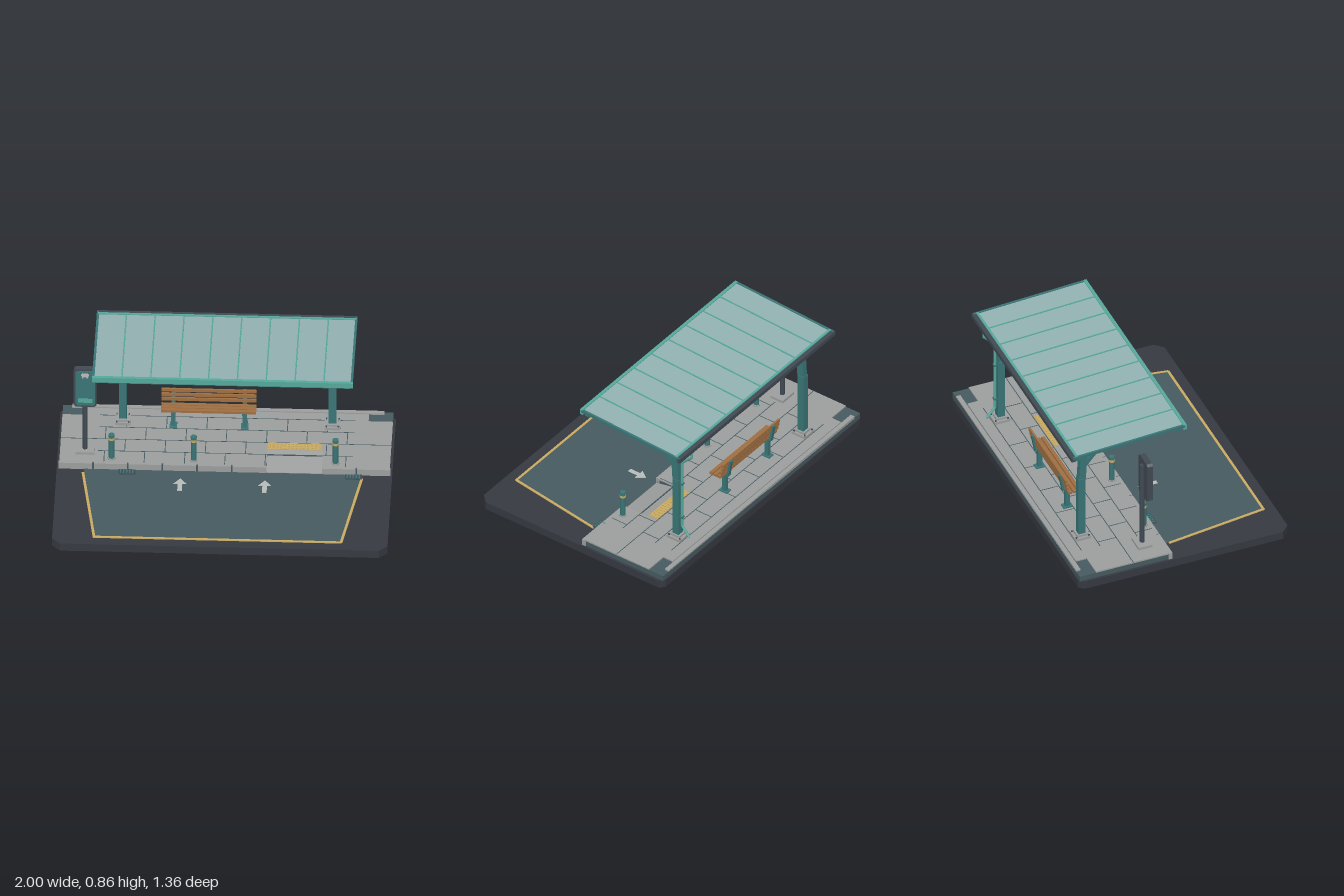
import * as THREE from 'three';

const mat = (name, color, side = THREE.FrontSide) => {
  const m = new THREE.MeshStandardMaterial({ color, side });
  m.name = name;
  return m;
};

export function createModel() {
  const root = new THREE.Group();
  root.name = 'shelter';
  const asphalt = mat('asphalt', 0x363941), slate = mat('slate', 0x465a60), concrete = mat('concrete', 0x9c9e9e);
  const teal = mat('teal', 0x3a7576), mint = mat('mint', 0x55a99b), glass = mat('roofPanel', 0x93b2b3);
  const wood = mat('wood', 0xa06f42), yellow = mat('yellow', 0xc9aa62), metal = mat('darkMetal', 0x414a53);
  const white = mat('paleMarking', 0xb8bcb8);

  const add = (name, geo, m, parent = root) => {
    const mesh = new THREE.Mesh(geo, m);
    mesh.name = name;
    parent.add(mesh);
    return mesh;
  };
  // box given by its limits on each axis
  const box = (name, m, x0, x1, y0, y1, z0, z1, parent) => {
    const b = add(name, new THREE.BoxGeometry(x1 - x0, y1 - y0, z1 - z0), m, parent);
    b.position.set((x0 + x1) / 2, (y0 + y1) / 2, (z0 + z1) / 2);
    return b;
  };
  // flat slab from an outline of [x, z] points
  const slab = (name, m, pts, y, h, parent) => {
    const s = new THREE.Shape(pts.map(([x, z]) => new THREE.Vector2(x, -z)));
    const g = new THREE.ExtrudeGeometry(s, { depth: h, bevelEnabled: false });
    g.rotateX(-Math.PI / 2);
    const o = add(name, g, m, parent);
    o.position.y = y;
    return o;
  };
  // straight bar between two [z, y] points, centred on x
  const bar = (name, m, x, [z0, y0], [z1, y1], thick, width, parent) => {
    const b = add(name, new THREE.BoxGeometry(width, thick, Math.hypot(z1 - z0, y1 - y0)), m, parent);
    b.position.set(x, (y0 + y1) / 2, (z0 + z1) / 2);
    b.rotation.x = Math.atan2(y0 - y1, z1 - z0);
    return b;
  };
  const post = (name, m, r, x, y0, y1, z, parent, sides = 16) => {
    const c = add(name, new THREE.CylinderGeometry(r, r, y1 - y0, sides), m, parent);
    c.position.set(x, (y0 + y1) / 2, z);
    return c;
  };

  // ground base with clipped corners
  slab('base', asphalt, [[-0.95, 0.68], [0.95, 0.68], [1, 0.63], [1, -0.65], [0.97, -0.68], [-0.97, -0.68], [-1, -0.65], [-1, 0.63]], 0, 0.052);

  // painted lane
  slab('lane', slate, [[-0.84, -0.08], [-0.75, 0.61], [0.72, 0.61], [0.82, -0.08]], 0.05, 0.005);
  const w = 0.016;
  slab('laneLineFront', yellow, [[-0.755, 0.615], [0.725, 0.615], [0.725, 0.599], [-0.755, 0.599]], 0.052, 0.005);
  slab('laneLineRight', yellow, [[-0.85, -0.04], [-0.758, 0.61], [-0.758 + w, 0.61], [-0.85 + w, -0.04]], 0.052, 0.005);
  slab('laneLineLeft', yellow, [[0.812, -0.04], [0.714, 0.61], [0.714 + w, 0.61], [0.812 + w, -0.04]], 0.052, 0.005);
  for (const x of [-0.26, 0.245]) {
    slab('laneArrow', white, [[x - 0.014, 0.125], [x + 0.014, 0.125], [x + 0.014, 0.055], [x + 0.04, 0.055], [x, 0], [x - 0.04, 0.055], [x - 0.014, 0.055]], 0.052, 0.005);
  }
  // drain grates beside the kerb
  for (const x of [-0.58, 0.77]) {
    box('grate', metal, x - 0.05, x + 0.05, 0.05, 0.059, -0.078, -0.03);
    for (let i = 0; i < 5; i++) box('grateBar', teal, x - 0.042 + i * 0.018, x - 0.034 + i * 0.018, 0.055, 0.062, -0.073, -0.035);
  }

  // platform with a notch for the ramp
  const rx0 = 0.25, rx1 = 0.58, rz = -0.26;
  const notch = (z) => [[rx0, z], [rx0, rz], [rx1, rz], [rx1, z]];
  slab('platformBody', slate, [[-0.985, -0.1], ...notch(-0.1), [0.985, -0.1], [0.985, -0.675], [-0.985, -0.675]], 0.05, 0.037);
  slab('paving', concrete, [[-0.985, -0.1], ...notch(-0.1), [0.985, -0.1], [0.985, -0.57], [0.84, -0.57], [0.84, -0.64], [-0.84, -0.64], [-0.84, -0.57], [-0.985, -0.57]], 0.086, 0.009);
  box('backKerb', concrete, -0.93, 0.93, 0.08, 0.097, -0.675, -0.647);
  const ramp = new THREE.Shape([[0.08, 0.05], [0.26, 0.05], [0.26, 0.095], [0.08, 0.058]].map((p) => new THREE.Vector2(...p)));
  const rampGeo = new THREE.ExtrudeGeometry(ramp, { depth: rx1 - rx0, bevelEnabled: false });
  rampGeo.rotateY(Math.PI / 2);
  add('ramp', rampGeo, concrete).position.x = rx0;

  // kerb stones, separated by dark joints
  box('kerbJointRight', slate, -0.985, rx0, 0.05, 0.09, -0.102, -0.084);
  box('kerbJointLeft', slate, rx1, 0.985, 0.05, 0.09, -0.102, -0.084);
  for (const [a, b, n] of [[-0.99, rx0, 6], [rx1, 0.99, 2]]) {
    const step = (b - a) / n;
    for (let i = 0; i < n; i++) {
      box('kerbStone', concrete, a + i * step + (i ? 0.005 : 0), a + (i + 1) * step - (i < n - 1 ? 0.005 : 0), 0.052, 0.095, -0.102, -0.078);
    }
  }

  // paving joints, staggered row by row
  const rows = [-0.1, -0.21, -0.33, -0.45, -0.57];
  rows.slice(1).forEach((z, i) => {
    const e = z === -0.33 ? 0.985 : 0.76;
    box('pavingJoint', slate, -e, e, 0.09, 0.0958, z - 0.0025, z + 0.0025);
    for (let x = -0.72 + (i % 2) * 0.12; x < 0.76; x += 0.24) {
      if (i < 2 && x > rx0 && x < rx1) continue;
      box('pavingJoint', slate, x - 0.0025, x + 0.0025, 0.09, 0.0958, z, rows[i]);
    }
  });

  // tactile strip at the top of the ramp
  box('tactileStrip', yellow, rx0, rx1 - 0.01, 0.09, 0.099, -0.325, -0.262);
  for (let i = 0; i < 14; i++) for (let j = 0; j < 3; j++) {
    post('tactileDot', yellow, 0.006, 0.262 + i * 0.0228, 0.098, 0.103, -0.274 - j * 0.0195, root, 8);
  }

  // canopy frames: footing, column, leaning head, brace and roof arm
  for (const x of [-0.622, 0.627]) {
    const f = new THREE.Group();
    f.name = 'canopyFrame';
    root.add(f);
    box('footing', concrete, x - 0.047, x + 0.047, 0.094, 0.112, -0.57, -0.47, f);
    box('footingCap', concrete, x - 0.033, x + 0.033, 0.11, 0.126, -0.553, -0.482, f);
    box('column', teal, x - 0.023, x + 0.023, 0.12, 0.53, -0.54, -0.495, f);
    bar('columnHead', teal, x, [-0.515, 0.52], [-0.497, 0.8], 0.044, 0.038, f);
    bar('braceLower', teal, x, [-0.5, 0.62], [-0.43, 0.7], 0.026, 0.03, f);
    bar('braceUpper', teal, x, [-0.435, 0.698], [-0.25, 0.785], 0.026, 0.03, f);
    bar('roofArmFront', teal, x, [0.06, 0.815], [-0.32, 0.79], 0.042, 0.042, f);
    bar('roofArmBack', teal, x, [-0.31, 0.79], [-0.6, 0.771], 0.032, 0.034, f);
    for (const dx of [-0.036, 0.036]) for (const z of [-0.56, -0.48]) post('anchorBolt', metal, 0.006, x + dx, 0.11, 0.118, z, f, 6);
  }

  // roof
  const roofY = (z) => 0.847 + (z - 0.1) * 0.054;
  const at = (z, d = 0) => [z, roofY(z) + d];
  bar('roofPanel', glass, -0.005, at(0.085), at(-0.625), 0.01, 1.53);
  for (const x of [-0.775, 0.765]) bar('roofSideRail', teal, x, at(0.09), at(-0.63), 0.018, 0.014);
  for (let i = 0; i < 8; i++) bar('roofSeam', mint, -0.605 + i * 0.172, at(0.08, 0.006), at(-0.605, 0.006), 0.006, 0.008);
  box('frontFascia', mint, -0.782, 0.772, 0.822, 0.856, 0.08, 0.1);
  box('backRail', mint, -0.775, 0.765, 0.805, 0.82, -0.615, -0.6);
  box('backGutter', metal, -0.782, 0.772, 0.788, 0.815, -0.642, -0.615);
  box('frontPurlin', teal, -0.755, 0.75, 0.802, 0.841, 0.052, 0.078);
  box('backPurlin', teal, -0.755, 0.75, 0.768, 0.802, -0.6, -0.572);
  for (const x of [-0.4, -0.01, 0.38]) box('lightBar', metal, x - 0.15, x + 0.15, 0.796, 0.812, -0.46, -0.435);

  // rainwater pipe
  const path = new THREE.CurvePath();
  const bends = [[0.795, -0.622], [0.735, -0.622], [0.665, -0.55], [0.19, -0.55], [0.13, -0.6]].map(([y, z]) => new THREE.Vector3(0.627, y, z));
  for (let i = 0; i < 4; i++) path.add(new THREE.LineCurve3(bends[i], bends[i + 1]));
  path.curves.forEach((c) => add('rainPipe', new THREE.TubeGeometry(c, 1, 0.008, 10), mint));
  bends.forEach((p) => add('rainPipeJoint', new THREE.SphereGeometry(0.0082, 10, 8), mint).position.copy(p));
  for (const y of [0.25, 0.5]) box('pipeClip', teal, 0.615, 0.639, y, y + 0.012, -0.56, -0.535);

  // stop sign on a pole
  const sign = new THREE.Group();
  sign.name = 'stopSign';
  root.add(sign);
  box('signFoot', concrete, -0.89, -0.778, 0.094, 0.112, -0.255, -0.165, sign);
  post('signPole', metal, 0.015, -0.835, 0.1, 0.683, -0.21, sign);
  const rounded = (x0, x1, y0, y1, r, depth) => {
    const s = new THREE.Shape([[x0 + r, y0], [x1 - r, y0], [x1, y0 + r], [x1, y1 - r], [x1 - r, y1], [x0 + r, y1], [x0, y1 - r], [x0, y0 + r]].map((p) => new THREE.Vector2(...p)));
    return new THREE.ExtrudeGeometry(s, { depth, bevelEnabled: false });
  };
  add('signCase', rounded(-0.902, -0.765, 0.445, 0.72, 0.014, 0.036), metal, sign).position.z = -0.204;
  add('signFace', rounded(-0.891, -0.776, 0.457, 0.709, 0.01, 0.004), teal, sign).position.z = -0.168;
  box('signStripe', mint, -0.877, -0.79, 0.48, 0.508, -0.166, -0.161, sign);
  add('signIcon', rounded(-0.857, -0.811, 0.668, 0.695, 0.009, 0.005), white, sign).position.z = -0.166;
  for (const x of [-0.848, -0.82]) box('signIconWheel', white, x - 0.005, x + 0.005, 0.66, 0.672, -0.166, -0.161, sign);

  // bollards
  for (const x of [-0.675, -0.185, 0.66]) {
    const b = new THREE.Group();
    b.name = 'bollard';
    root.add(b);
    post('bollardFoot', concrete, 0.023, x, 0.094, 0.103, -0.135, b);
    post('bollardPost', teal, 0.017, x, 0.1, 0.262, -0.135, b);
    post('bollardBand', yellow, 0.0185, x, 0.234, 0.25, -0.135, b);
    post('bollardCap', teal, 0.0185, x, 0.26, 0.271, -0.135, b);
  }

  // bench
  const bench = new THREE.Group();
  bench.name = 'bench';
  root.add(bench);
  for (const z of [-0.43, -0.459, -0.488]) box('seatSlat', wood, -0.392, 0.175, 0.235, 0.251, z - 0.011, z + 0.011, bench);
  for (const [y, z] of [[0.276, -0.503], [0.304, -0.509], [0.333, -0.515]]) {
    box('backSlat', wood, -0.392, 0.175, y - 0.01, y + 0.01, z - 0.006, z + 0.006, bench);
  }
  for (const x of [-0.32, 0.105]) {
    box('benchFoot', teal, x - 0.022, x + 0.022, 0.094, 0.103, -0.51, -0.45, bench);
    box('benchLeg', teal, x - 0.013, x + 0.013, 0.1, 0.235, -0.495, -0.467, bench);
    box('seatBracket', teal, x - 0.013, x + 0.013, 0.222, 0.236, -0.515, -0.42, bench);
    bar('backBracket', teal, x, [-0.508, 0.225], [-0.527, 0.338], 0.012, 0.024, bench);
  }
  return root;
}
